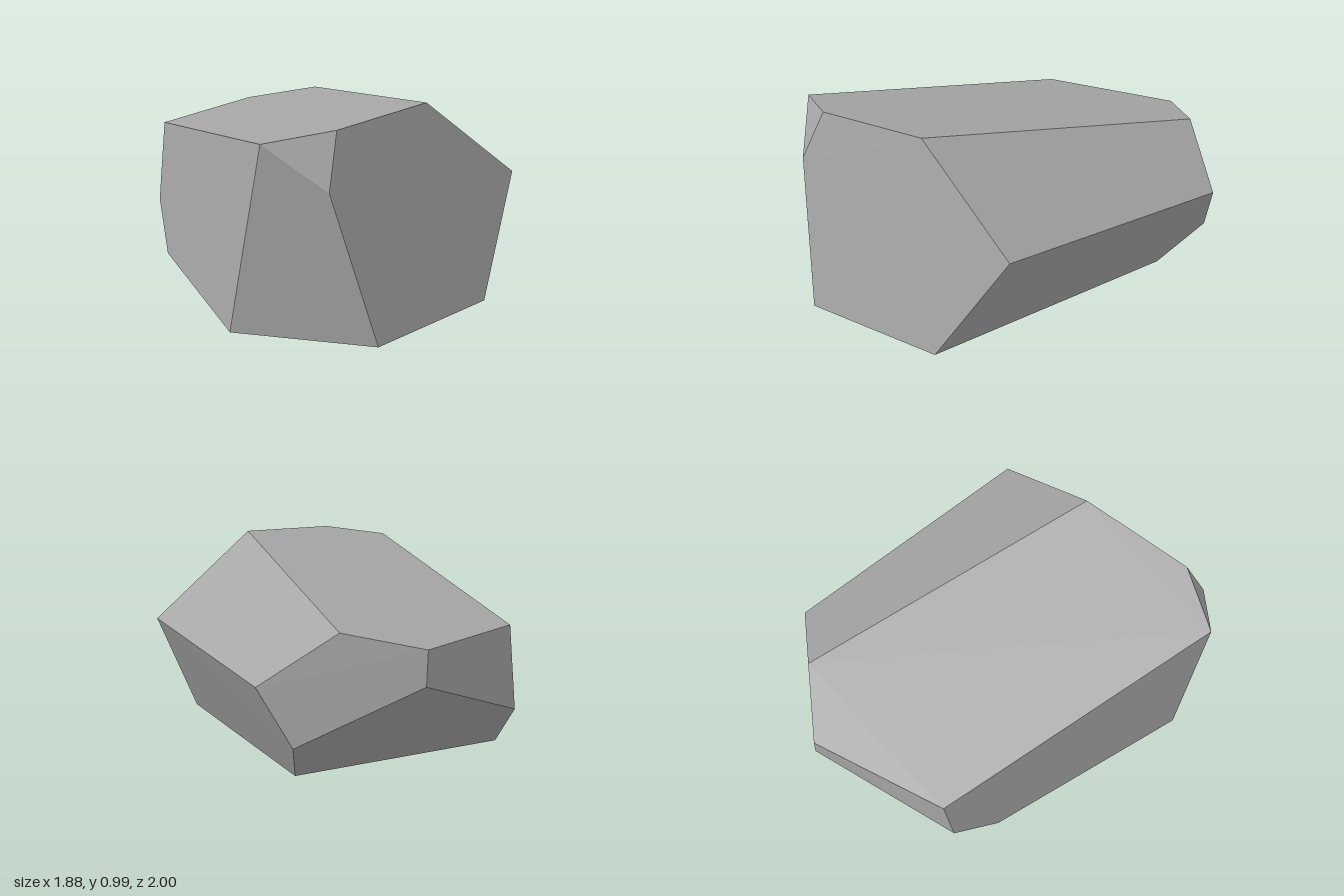
import * as THREE from 'three';
import { ConvexGeometry } from 'three/addons/geometries/ConvexGeometry.js';

export function createModel() {
  const group = new THREE.Group();
  group.name = 'rock';

  const stone = new THREE.MeshStandardMaterial({ color: 0xa6a6a6 });
  stone.name = 'grey stone';

  // corners of the faceted boulder
  const corners = [
    // sloping top facet
    [-0.92, 0.645, 0.01], [0.20, 0.92, 1.0], [0.47, 0.967, 0.81],
    [0.665, 0.985, 0.26], [-0.435, 0.71, -0.83], [-0.79, 0.642, -0.685],
    // middle ring
    [-0.11, 0.47, -1.0], [0.94, 0.56, -0.22], [0.49, 0.72, 0.925],
    [-0.94, 0.225, 0.055], [-0.79, 0.48, -0.7], [-0.27, 0.2, -0.955],
    // base
    [0.69, 0.012, 0.84], [0.94, 0.012, 0.14], [-0.16, 0, -0.735],
    [-0.78, 0, 0.24], [0.02, 0.008, 0.98],
  ].map((p) => new THREE.Vector3(...p));

  // hull keeps every facet flat-shaded
  const boulder = new THREE.Mesh(new ConvexGeometry(corners), stone);
  boulder.name = 'boulder';
  group.add(boulder);
  return group;
}
